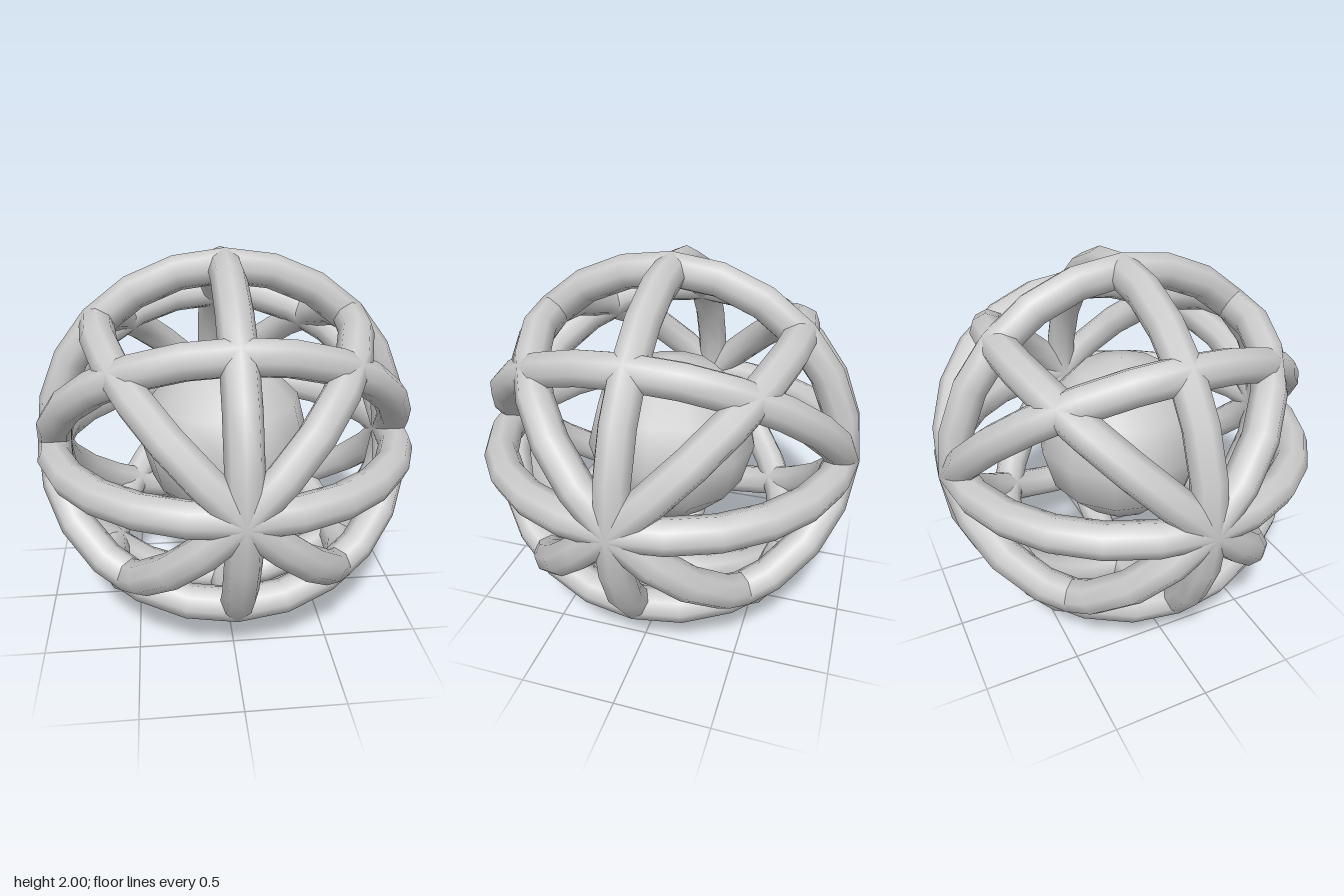
import * as THREE from 'three';

export function createModel() {
  const model = new THREE.Group();
  model.name = 'cageSphere';
  const material = new THREE.MeshStandardMaterial({ color: 0xcccccc });
  const ringGeometry = new THREE.TorusGeometry(0.912, 0.088, 8, 24);

  function addPart(name, geometry) {
    const mesh = new THREE.Mesh(geometry, material);
    mesh.name = name;
    mesh.position.y = 1;
    model.add(mesh);
    return mesh;
  }

  // Inner ball
  addPart('coreBall', new THREE.SphereGeometry(0.457, 12, 6));

  // Four rings crossing on the x axis, 45 degrees apart
  for (let i = 0; i < 4; i++) {
    addPart('sideAxisRing' + (i + 1), ringGeometry).rotation.x = i * Math.PI / 4;
  }

  // Three more rings crossing on the z axis (the level one is already there)
  const standing = ringGeometry.clone().rotateY(Math.PI / 2);
  [-1, 0, 1].forEach((k, i) => {
    addPart('frontAxisRing' + (i + 1), standing).rotation.z = k * Math.PI / 4;
  });

  return model;
}
